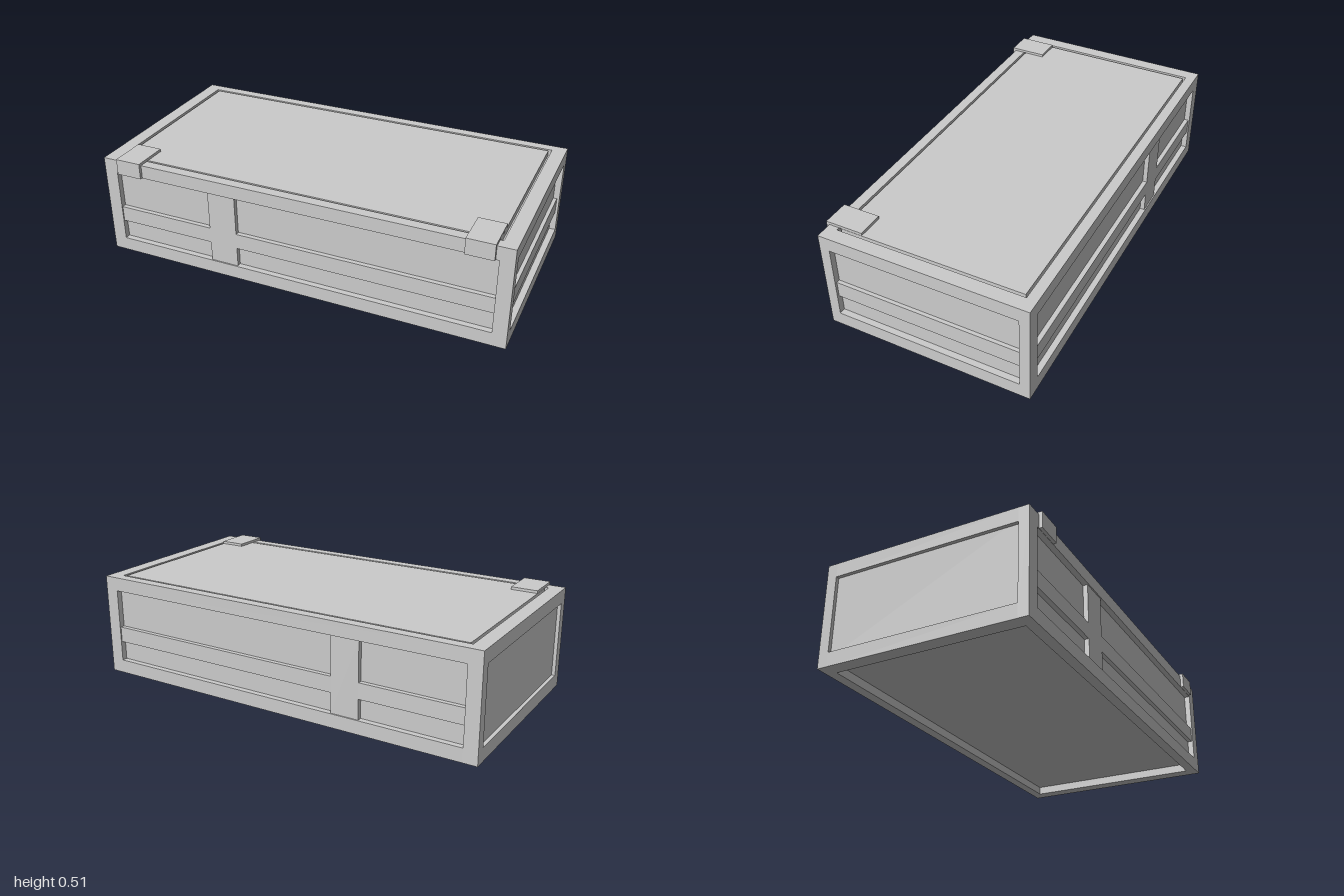
import * as THREE from 'three';

// Outer limits of the crate and the width of its frame beams
const X = 1, H = 0.5, Z0 = -0.505, Z1 = 0.49;
const BX = 0.067, BY = 0.067, BZ = 0.049;

export function createModel() {
  const group = new THREE.Group();
  const material = new THREE.MeshStandardMaterial({ color: 0xcccccc, flatShading: true });

  // Adds a box given by its limits on each axis
  const block = (name, [x0, x1], [y0, y1], [z0, z1]) => {
    const mesh = new THREE.Mesh(new THREE.BoxGeometry(x1 - x0, y1 - y0, z1 - z0), material);
    mesh.position.set((x0 + x1) / 2, (y0 + y1) / 2, (z0 + z1) / 2);
    mesh.name = name;
    group.add(mesh);
  };

  const xSides = [[-X, -X + BX], [X - BX, X]];
  const ySides = [[0, BY], [H - BY, H]];
  const zSides = [[Z0, Z0 + BZ], [Z1 - BZ, Z1]];

  // Frame: four corner posts with beams running between them
  for (const xs of xSides) for (const zs of zSides) block('cornerPost', xs, [0, H], zs);
  for (const ys of ySides) {
    for (const zs of zSides) block('longBeam', [-X + BX, X - BX], ys, zs);
    for (const xs of xSides) block('shortBeam', xs, ys, [Z0 + BZ, Z1 - BZ]);
  }

  // Recessed panels on the sides and underneath
  block('body', [-0.983, 0.97], [0.04, 0.47], [Z0 + 0.028, Z1 - 0.028]);

  // Lid set in the top opening with a narrow groove around it
  block('lid', [-0.918, 0.918], [0.46, 0.499], [-0.445, 0.43]);

  // Cross braces on the front and back: one upright and a rail on each side of it
  for (const zs of [[Z0 + 0.006, Z0 + 0.04], [Z1 - 0.04, Z1 - 0.006]]) {
    block('upright', [-0.44, -0.3], [BY, H - BY], zs);
    block('rail', [-X + BX, -0.44], [0.165, 0.242], zs);
    block('rail', [-0.3, X - BX], [0.165, 0.242], zs);
  }

  // Single rail on the left end
  block('endRail', [0.95, X - 0.012], [0.163, 0.243], [Z0 + BZ, Z1 - BZ]);

  // Latches folded over the top front edge
  for (const xs of [[-0.918, -0.79], [0.79, 0.918]]) {
    block('latchTop', xs, [H, 0.513], [0.325, 0.505]);
    block('latchFront', xs, [0.435, H], [Z1, 0.505]);
  }

  return group;
}
